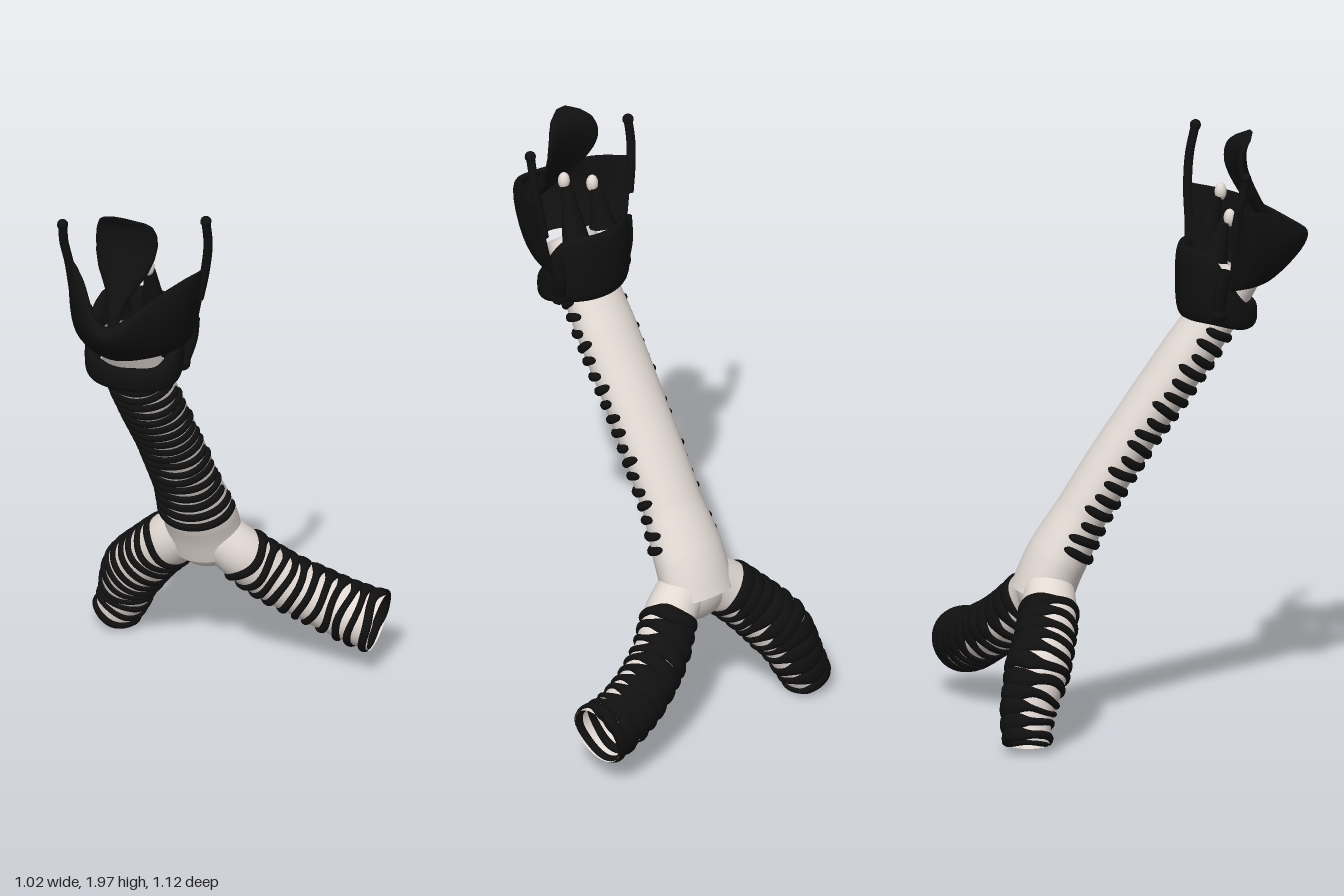
import * as THREE from 'three';
import { ParametricGeometry } from 'three/addons/geometries/ParametricGeometry.js';

const V = (x, y, z) => new THREE.Vector3(x, y, z);
const lerp = THREE.MathUtils.lerp;
const smooth = THREE.MathUtils.smoothstep;
const lining = new THREE.MeshStandardMaterial({ color: 0xe2d9d3, side: THREE.DoubleSide });
const cartilage = new THREE.MeshStandardMaterial({ color: 0x101010, side: THREE.DoubleSide });
const curve = pts => new THREE.CatmullRomCurve3(pts.map(p => V(...p)));

function add(parent, name, geometry, material) {
  const mesh = new THREE.Mesh(geometry, material);
  mesh.name = name;
  parent.add(mesh);
  return mesh;
}

function surface(fn, nu, nv) {
  return new ParametricGeometry((u, v, out) => out.copy(fn(u, v)), nu, nv);
}

// value of a list of evenly spaced samples at t
function sample(list, t) {
  const f = THREE.MathUtils.clamp(t, 0, 1) * (list.length - 1);
  const i = Math.min(Math.floor(f), list.length - 2);
  return lerp(list[i], list[i + 1], f - i);
}

// An airway: returns a function giving the wall point at path t, angle a (0 = front)
function airway(points, radii, depth, flatBack) {
  const path = curve(points);
  return (t, a, off = 0) => {
    const k = THREE.MathUtils.clamp(t, 0, 1);
    const c = path.getPointAt(k), T = path.getTangentAt(k);
    const front = V(0, 0, 1).addScaledVector(T, -T.z).normalize();
    const side = V().crossVectors(front, T).normalize();
    const r = sample(radii, k), cos = Math.cos(a);
    const rf = r * depth * (cos < 0 ? flatBack : 1);
    return c.addScaledVector(front, cos * (rf + off)).addScaledVector(side, Math.sin(a) * (r + off));
  };
}

function airwayWall(parent, name, wall) {
  add(parent, name, surface((u, v) => wall(v, u * Math.PI * 2), 40, 48), lining);
}

// Cartilage band lying on an airway wall
function ring(parent, name, wall, t0, width, height, reach, seed, taper) {
  add(parent, name, surface((u, v) => {
    const a = lerp(-reach, reach, u), b = v * Math.PI * 2;
    const end = taper ? Math.sqrt(Math.max(0.02, 1 - Math.pow(Math.abs(2 * u - 1), 10))) : 1;
    const wave = 0.15 * width * (Math.sin(2 * a + seed * 2.3) + Math.sin(3 * a + seed * 1.7));
    const w = (typeof width === 'number' ? width : 0) * end;
    return wall(t0 + wave + w * Math.cos(b), a, height * end * Math.sin(b));
  }, 44, 10), cartilage);
}

// Bronchial band, spreading towards the upper back so neighbours merge there
function bronchialRing(parent, wall, t0, width, seed) {
  const back = V(0, 0.55, -0.83);
  add(parent, 'bronchialRing', surface((u, v) => {
    const a = u * Math.PI * 2, b = v * Math.PI * 2;
    const n = wall(t0, a).sub(wall(t0, a + Math.PI)).normalize();
    const w = width * (1 + 1.1 * smooth(n.dot(back), 0.2, 0.85));
    const wave = 0.3 * width * (Math.sin(2 * a + seed * 2.1) + Math.sin(3 * a + seed * 1.3));
    return wall(THREE.MathUtils.clamp(t0 + wave + w * Math.cos(b), 0, 1), a, 0.011 * Math.sin(b));
  }, 44, 10), cartilage);
}

// Thick sheet: mid(u, s) is its middle surface, dir(p) the thickness direction
function sheet(parent, name, mid, dir, thickness) {
  add(parent, name, surface((u, v) => {
    const b = v * Math.PI * 2, sn = Math.sin(b), cs = Math.cos(b);
    const p = mid(u, 0.5 + 0.5 * sn);
    const taper = Math.min(1, 8 * Math.min(u, 1 - u) + 0.05);
    const t = Math.sign(cs) * Math.sqrt(Math.abs(cs)) * thickness * 0.5 * taper;
    return p.addScaledVector(dir(p), t);
  }, 56, 28), cartilage);
}

function horn(parent, name, points, radius) {
  const path = curve(points);
  add(parent, name, new THREE.TubeGeometry(path, 20, radius, 10), cartilage);
  const tip = add(parent, name + 'Tip', new THREE.SphereGeometry(radius * 1.25, 12, 8), cartilage);
  tip.position.copy(path.getPoint(1));
}

function buildTrachea(parent) {
  const g = new THREE.Group();
  g.name = 'trachea';
  parent.add(g);
  const wall = airway([[-0.12, 1.53, 0.33], [-0.117, 1.4, 0.245], [-0.11, 1.2, 0.105], [-0.1, 0.95, -0.07],
    [-0.09, 0.7, -0.225], [-0.085, 0.56, -0.3], [-0.083, 0.47, -0.335]],
  [0.09, 0.1, 0.107, 0.107, 0.104, 0.106, 0.107, 0.125, 0.13], 0.85, 0.85);
  airwayWall(g, 'trachealWall', wall);
  for (let i = 0; i < 18; i++) {
    ring(g, 'trachealRing', wall, lerp(0.165, 0.85, i / 17), 0.0125, 0.014, 1.85 + 0.12 * Math.sin(i * 2.4), i, true);
  }
  const fork = add(g, 'carina', new THREE.SphereGeometry(1, 32, 20), lining);
  fork.scale.set(0.125, 0.12, 0.085);
  fork.position.set(-0.083, 0.5, -0.32);
}

function buildBronchi(parent) {
  const specs = [
    ['rightBronchus', [[-0.1, 0.53, -0.31], [-0.19, 0.46, -0.325], [-0.28, 0.37, -0.36], [-0.37, 0.255, -0.415],
      [-0.41, 0.15, -0.45], [-0.45, 0.06, -0.46]], [0.08, 0.09, 0.093, 0.1, 0.085, 0.072]],
    ['leftBronchus', [[-0.06, 0.53, -0.31], [0.03, 0.45, -0.325], [0.14, 0.345, -0.385], [0.27, 0.27, -0.43],
      [0.38, 0.225, -0.447], [0.475, 0.205, -0.45]], [0.08, 0.086, 0.088, 0.09, 0.094, 0.1]],
  ];
  for (const [name, points, radii] of specs) {
    const g = new THREE.Group();
    g.name = name;
    parent.add(g);
    const wall = airway(points, radii, 1, 1);
    airwayWall(g, 'bronchialWall', wall);
    for (let i = 0; i < 11; i++) bronchialRing(g, wall, lerp(0.24, 0.97, i / 10), 0.021, i);
  }
}

function buildLarynx(parent) {
  const g = new THREE.Group();
  g.name = 'larynx';
  parent.add(g);

  // signet-shaped ring: low arch in front, tall plate behind
  add(g, 'cricoidCartilage', surface((u, v) => {
    const a = u * Math.PI * 2, b = v * Math.PI * 2;
    const k = smooth((1 - Math.cos(a)) / 2, 0.1, 0.85);
    const top = lerp(1.44, 1.63, k), bottom = lerp(1.355, 1.385, k);
    const sn = Math.sin(b), y = (top + bottom) / 2 + Math.sign(sn) * Math.pow(Math.abs(sn), 0.6) * (top - bottom) / 2;
    const t = 0.022 * Math.cos(b);
    return V(-0.11 + Math.sin(a) * (0.145 + t), y, 0.255 + Math.cos(a) * (0.11 + t));
  }, 56, 20), cartilage);

  // shield folded at the front, with a notch in its upper edge
  const low = curve([[-0.29, 1.5, 0.25], [-0.25, 1.5, 0.34], [-0.11, 1.5, 0.43], [0.02, 1.5, 0.34], [0.07, 1.5, 0.19]]);
  const mid = curve([[-0.315, 1.63, 0.26], [-0.26, 1.62, 0.39], [-0.11, 1.61, 0.535], [0.04, 1.62, 0.38], [0.1, 1.63, 0.2]]);
  const high = curve([[-0.335, 1.77, 0.27], [-0.25, 1.75, 0.38], [-0.11, 1.67, 0.53], [0.04, 1.75, 0.37], [0.125, 1.78, 0.21]]);
  sheet(g, 'thyroidCartilage', (u, s) => {
    const a = low.getPoint(u), m = mid.getPoint(u), c = high.getPoint(u);
    const ctrl = m.multiplyScalar(2).addScaledVector(a, -0.5).addScaledVector(c, -0.5);
    return new THREE.QuadraticBezierCurve3(a, ctrl, c).getPoint(s);
  }, p => V(p.x + 0.11, 0, p.z - 0.18).normalize(), 0.035);

  horn(g, 'upperHornLeft', [[0.1, 1.66, 0.215], [0.12, 1.76, 0.215], [0.135, 1.87, 0.225], [0.135, 1.965, 0.245]], 0.015);
  horn(g, 'upperHornRight', [[-0.32, 1.64, 0.265], [-0.333, 1.74, 0.27], [-0.345, 1.82, 0.285], [-0.345, 1.89, 0.298]], 0.015);
  horn(g, 'lowerHornLeft', [[0.07, 1.57, 0.19], [0.06, 1.49, 0.185], [0.04, 1.41, 0.21]], 0.022);
  horn(g, 'lowerHornRight', [[-0.285, 1.57, 0.245], [-0.275, 1.49, 0.23], [-0.26, 1.42, 0.23]], 0.022);

  // leaf-shaped flap, cupped and bent backwards
  const spine = curve([[-0.11, 1.62, 0.47], [-0.112, 1.71, 0.42], [-0.115, 1.79, 0.375], [-0.115, 1.88, 0.34],
    [-0.115, 1.95, 0.34], [-0.115, 1.995, 0.372]]);
  const halfWidths = [0.015, 0.022, 0.035, 0.06, 0.086, 0.102, 0.108, 0.105, 0.092, 0.066, 0.02];
  sheet(g, 'epiglottis', (u, s) => {
    const p = spine.getPoint(u), x = 2 * s - 1;
    p.x += x * sample(halfWidths, u);
    p.z -= 0.03 * x * x * Math.sin(Math.PI * u);
    return p;
  }, () => V(0, 0.2, 1).normalize(), 0.03);

  // paired cartilages on the rear plate, tipped with pale caps
  for (const [side, x, top] of [['Left', -0.05, 1.77], ['Right', -0.175, 1.71]]) {
    const base = 1.58;
    const body = add(g, 'arytenoid' + side, new THREE.CylinderGeometry(0.018, 0.045, top - base, 14), cartilage);
    body.position.set(x, (top + base) / 2, 0.25);
    body.rotation.x = 0.25;
    const cap = add(g, 'corniculate' + side, new THREE.SphereGeometry(0.02, 14, 10), lining);
    cap.scale.y = 1.5;
    cap.position.set(x, top + 0.012, 0.285);
  }
}

export function createModel() {
  const model = new THREE.Group();
  model.name = 'airwayModel';
  buildTrachea(model);
  buildBronchi(model);
  buildLarynx(model);
  return model;
}
